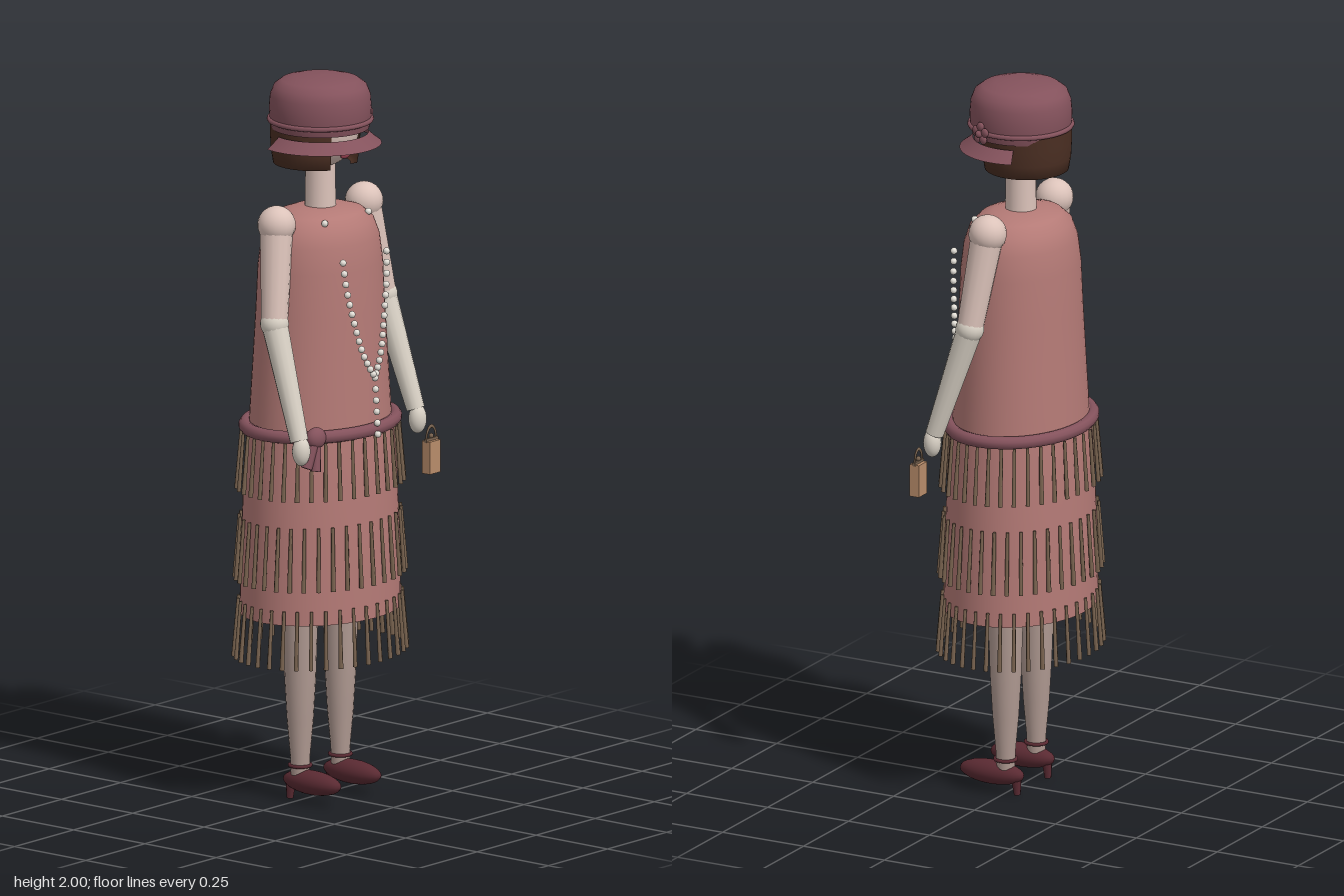
import * as THREE from 'three';

const mat = (color, side = THREE.FrontSide) => new THREE.MeshStandardMaterial({ color, side });
const M = {
  skin: mat(0xdcc3ba), glove: mat(0xdad2c6), stocking: mat(0xb09a92),
  dress: mat(0xb47a76, THREE.DoubleSide), trim: mat(0x84525c), hat: mat(0x84525c, THREE.DoubleSide),
  hair: mat(0x4a2e22, THREE.DoubleSide), fringe: mat(0x7a6450), pearl: mat(0xe6e2da),
  shoe: mat(0x5a2a32), bag: mat(0xb88c6a), clasp: mat(0x7a6450), lips: mat(0x8a3a48),
};
const V = (x, y, z) => new THREE.Vector3(x, y, z);

function add(parent, name, geometry, material, x = 0, y = 0, z = 0) {
  const m = new THREE.Mesh(geometry, material);
  m.name = name;
  m.position.set(x, y, z);
  parent.add(m);
  return m;
}

function ball(parent, name, material, p, r, sx = 1, sy = 1, sz = 1, seg = 20) {
  const m = add(parent, name, new THREE.SphereGeometry(r, seg, Math.ceil(seg * 0.7)), material, p.x, p.y, p.z);
  m.scale.set(sx, sy, sz);
  return m;
}

// Tapered cylinder running from point a to point b
function limb(parent, name, material, a, b, ra, rb, seg = 14) {
  const d = b.clone().sub(a);
  const m = add(parent, name, new THREE.CylinderGeometry(rb, ra, d.length(), seg), material);
  m.position.copy(a).addScaledVector(d, 0.5);
  m.quaternion.setFromUnitVectors(V(0, 1, 0), d.normalize());
  return m;
}

// Lathe from [radius, y] pairs listed bottom to top
function lathe(parent, name, material, pts, start = 0, length = Math.PI * 2, seg = 40) {
  const profile = pts.map(([r, y]) => new THREE.Vector2(r, y));
  return add(parent, name, new THREE.LatheGeometry(profile, seg, start, length), material);
}

// Closed tube around an ellipse
function ellipseRing(parent, name, material, rx, rz, y, tube) {
  const pts = [];
  for (let i = 0; i < 32; i++) {
    const a = i / 32 * Math.PI * 2;
    pts.push(V(rx * Math.sin(a), y, rz * Math.cos(a)));
  }
  const curve = new THREE.CatmullRomCurve3(pts, true);
  return add(parent, name, new THREE.TubeGeometry(curve, 64, tube, 10, true), material);
}

function buildHead(g) {
  lathe(g, 'neck', M.skin, [[0.045, 1.6], [0.042, 1.65], [0.041, 1.78]], 0, Math.PI * 2, 20);
  ball(g, 'head', M.skin, V(0, 1.865, 0), 0.1, 1, 1.2, 1.12, 28);
  ball(g, 'mouth', M.lips, V(0, 1.786, 0.087), 0.018, 1, 0.45, 0.4, 12);
  // Bobbed hair, open over the face
  const open = 0.51;
  const hair = lathe(g, 'hair', M.hair,
    [[0.095, 1.752], [0.114, 1.754], [0.12, 1.79], [0.122, 1.83], [0.122, 1.88]], open, Math.PI * 2 - 2 * open);
  hair.position.z = -0.018;
  // Cloche hat
  lathe(g, 'hatCrown', M.hat, [[0.132, 1.853], [0.137, 1.875], [0.139, 1.91], [0.136, 1.945],
    [0.126, 1.97], [0.105, 1.986], [0.07, 1.995], [0.03, 1.999], [0, 2]], 0, Math.PI * 2, 48);
  lathe(g, 'hatBrim', M.hat, [[0.166, 1.81], [0.15, 1.822], [0.13, 1.84]], -1.92, 3.84);
  const band = add(g, 'hatBand', new THREE.TorusGeometry(0.138, 0.007, 8, 48), M.trim, 0, 1.877, 0);
  band.rotation.x = Math.PI / 2;
  // Flower on the side of the band
  const flower = new THREE.Group();
  flower.name = 'hatFlower';
  flower.position.set(0.135, 1.877, 0.05);
  flower.rotation.y = 1.22;
  for (let i = 0; i < 5; i++) {
    const a = i / 5 * Math.PI * 2 + Math.PI / 2;
    ball(flower, 'petal', M.trim, V(0.019 * Math.cos(a), 0.019 * Math.sin(a), 0), 0.013, 1, 1, 0.6, 10);
  }
  ball(flower, 'flowerCentre', M.trim, V(0, 0, 0.006), 0.01, 1, 1, 1, 10);
  g.add(flower);
}

function buildDress(g) {
  const bodice = lathe(g, 'bodice', M.dress, [[0.217, 1.03], [0.213, 1.1], [0.205, 1.22], [0.196, 1.36],
    [0.19, 1.48], [0.18, 1.55], [0.162, 1.595], [0.13, 1.622], [0.085, 1.635], [0.04, 1.638]], 0, Math.PI * 2, 48);
  bodice.scale.z = 0.81;
  const skirt = lathe(g, 'skirt', M.dress, [[0.246, 0.52], [0.242, 0.7], [0.234, 0.9], [0.222, 1.04]], 0, Math.PI * 2, 48);
  skirt.scale.z = 0.8;

  // Hip sash with a side knot and tails
  ellipseRing(g, 'sash', M.trim, 0.233, 0.18, 1.04, 0.018);
  ball(g, 'sashKnot', M.trim, V(-0.182, 1.042, 0.135), 0.03, 1.1, 1, 0.8);
  limb(g, 'sashTail', M.trim, V(-0.19, 1.04, 0.14), V(-0.222, 0.965, 0.135), 0.012, 0.016, 8);
  limb(g, 'sashTail', M.trim, V(-0.18, 1.04, 0.14), V(-0.2, 0.955, 0.15), 0.01, 0.014, 8);

  // Three tiers of hanging fringe: [top, bottom, radius, angle offset]
  const count = 36;
  [[1.025, 0.865, 0.25, 0], [0.79, 0.615, 0.255, 0.5], [0.56, 0.4, 0.259, 0]].forEach(([top, bottom, r, shift], tier) => {
    const group = new THREE.Group();
    group.name = 'fringeTier' + (tier + 1);
    for (let i = 0; i < count; i++) {
      const a = (i + shift) / count * Math.PI * 2;
      const at = (rad, y) => V(rad * Math.sin(a), y, rad * 0.795 * Math.cos(a));
      limb(group, 'fringeStrand', M.fringe, at(r - 0.008, top), at(r + 0.006, bottom), 0.0045, 0.0065, 6);
    }
    g.add(group);
  });
}

function buildNecklace(g) {
  const bead = (p) => ball(g, 'bead', M.pearl, p, 0.0095, 1, 1, 1, 10);
  for (const s of [-1, 1]) {
    const strand = new THREE.CatmullRomCurve3([V(s * 0.092, 1.515, 0.156), V(s * 0.084, 1.44, 0.162),
      V(s * 0.062, 1.34, 0.172), V(s * 0.036, 1.25, 0.183), V(0, 1.185, 0.192)]);
    for (let i = 0; i < 14; i++) bead(strand.getPointAt(1 - Math.pow(1 - i / 14, 1.25)));
    bead(V(s * 0.092, 1.615, 0.092));
  }
  // Hanging drop
  for (let i = 0; i < 6; i++) bead(V(0, 1.185 - i * 0.031, 0.192 + i * 0.002));
}

function buildArm(g, s) {
  const arm = new THREE.Group();
  arm.name = s > 0 ? 'leftArm' : 'rightArm';
  const shoulder = V(s * 0.185, 1.615, 0), elbow = V(s * 0.23, 1.353, 0.03), wrist = V(s * 0.246, 1.045, 0.13);
  ball(arm, 'shoulder', M.skin, shoulder, 0.052);
  limb(arm, 'upperArm', M.skin, shoulder, elbow, 0.045, 0.036);
  ball(arm, 'elbow', M.glove, elbow, 0.039);
  limb(arm, 'forearm', M.glove, elbow, wrist, 0.036, 0.025);
  ball(arm, 'hand', M.glove, V(s * 0.246, 1.018, 0.137), 0.027, 0.95, 1.5, 0.9);
  g.add(arm);
}

function buildLeg(g, s) {
  const leg = new THREE.Group();
  leg.name = s > 0 ? 'leftLeg' : 'rightLeg';
  leg.position.x = s * 0.085;
  lathe(leg, 'stocking', M.stocking, [[0.025, 0.06], [0.027, 0.12], [0.036, 0.22], [0.043, 0.34],
    [0.048, 0.5], [0.055, 0.7], [0.06, 0.95]], 0, Math.PI * 2, 18);
  ball(leg, 'shoe', M.shoe, V(0, 0.054, 0.042), 0.035, 1, 0.95, 2.8);
  limb(leg, 'heel', M.shoe, V(0, 0, -0.036), V(0, 0.062, -0.032), 0.009, 0.016, 10);
  const strap = add(leg, 'ankleStrap', new THREE.TorusGeometry(0.029, 0.005, 8, 20), M.shoe, 0, 0.097, 0);
  strap.rotation.x = Math.PI / 2;
  g.add(leg);
}

function buildBag(g) {
  const bag = new THREE.Group();
  bag.name = 'handbag';
  bag.position.set(0.264, 0, 0.17);
  add(bag, 'bagBody', new THREE.BoxGeometry(0.046, 0.09, 0.028), M.bag, 0, 0.915, 0);
  add(bag, 'bagFrame', new THREE.BoxGeometry(0.05, 0.01, 0.008), M.clasp, 0, 0.962, 0);
  ball(bag, 'bagClasp', M.clasp, V(0, 0.972, 0), 0.007, 1, 1, 1, 10);
  add(bag, 'bagHandle', new THREE.TorusGeometry(0.02, 0.003, 6, 16, Math.PI), M.clasp, 0, 0.965, 0).scale.y = 1.7;
  g.add(bag);
}

export function createModel() {
  const model = new THREE.Group();
  model.name = 'figure';
  const body = new THREE.Group();
  body.name = 'body';
  body.position.x = -0.008;
  model.add(body);
  buildHead(body);
  buildDress(body);
  buildNecklace(body);
  for (const s of [-1, 1]) {
    buildArm(body, s);
    buildLeg(body, s);
  }
  buildBag(body);
  return model;
}
